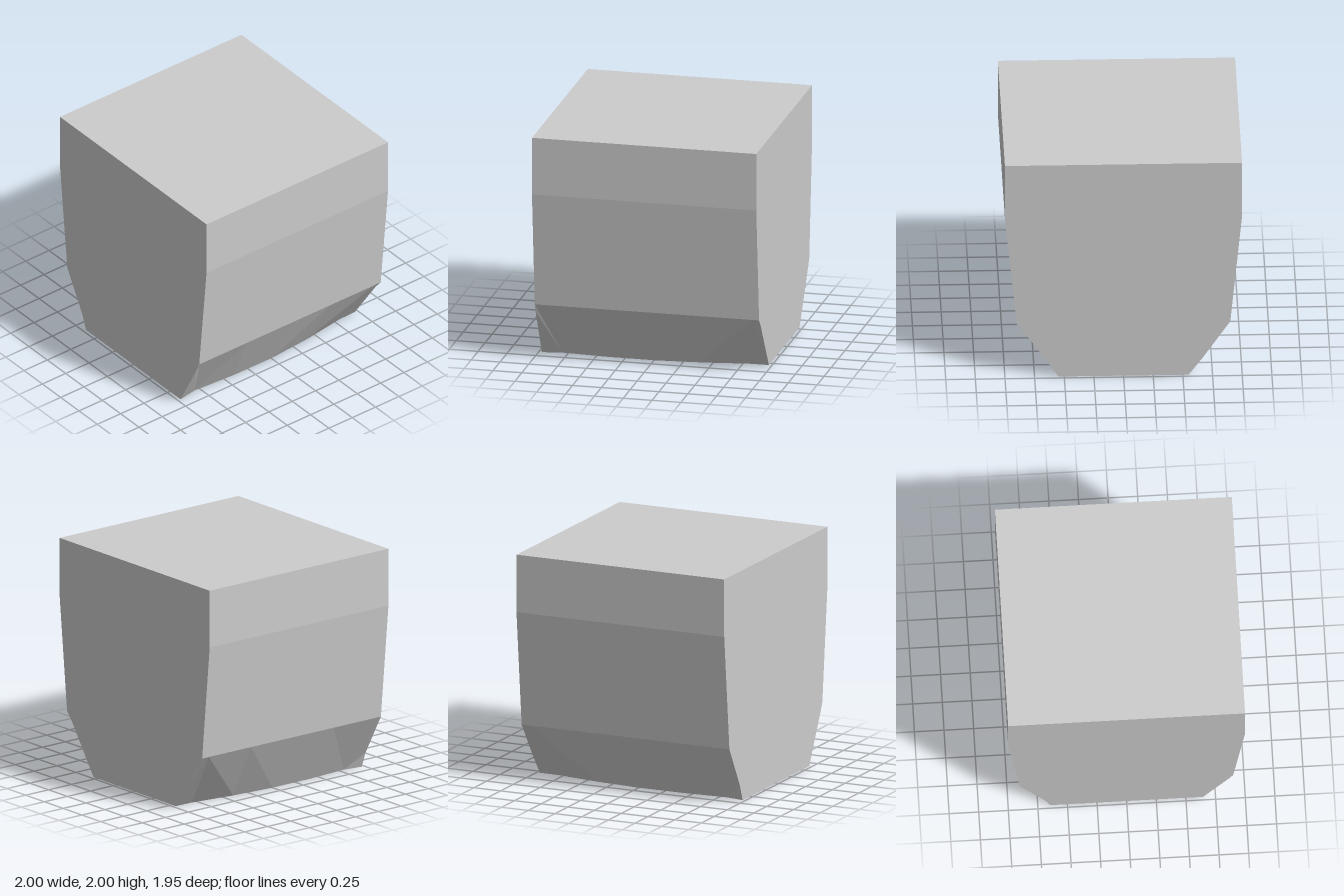
import * as THREE from 'three';

const D = 0.9725; // half depth
// Stations from front to back: z of the shoulder line, z and half width of the foot line
const shoulderZ = [D, 0.9, 0.46, 0, -0.44, -0.9, -D];
const footZ = [D, 0.8, 0.4, 0, -0.4, -0.8, -D];
const footX = [0.645, 0.617, 0.643, 0.645, 0.612, 0.552, 0.548];

// Small bends [half width, y] in the lower end edges, per side
const bends = {
  '1': { front: [0.865, 0.42], back: [0.84, 0.43] },
  '-1': { front: [0.695, 0.135], back: [0.672, 0.166] },
};

// Corner points of one side
function sidePoints(s) {
  const p = (x, y, z) => [s * x, y, z];
  const b = bends[s];
  return {
    foot: footZ.map((z, i) => p(footX[i], 0, z)),
    shoulder: shoulderZ.map((z) => p(0.9, 0.5, z)),
    bendFront: p(...b.front, D),
    bendBack: p(...b.back, -D),
    waist: [p(1, 1.5, D), p(1, 1.5, -D)],
    top: [p(1, 2, D), p(1, 2, -D)],
  };
}

export function createModel() {
  const group = new THREE.Group();
  const material = new THREE.MeshStandardMaterial({ color: 0xcccccc, flatShading: true });

  // Fan of triangles around the first point; corners counter-clockwise unless flipped
  function fan(out, pts, flip = false) {
    for (let i = 1; i < pts.length - 1; i++) {
      out.push(...pts[0], ...pts[flip ? i + 1 : i], ...pts[flip ? i : i + 1]);
    }
  }
  function addPart(name, positions) {
    const g = new THREE.BufferGeometry();
    g.setAttribute('position', new THREE.Float32BufferAttribute(positions, 3));
    g.computeVertexNormals();
    const mesh = new THREE.Mesh(g, material);
    mesh.name = name;
    group.add(mesh);
  }

  const L = sidePoints(1), R = sidePoints(-1);

  // Side walls: upright band, sloping band and the faceted taper below
  for (const [S, flip, word] of [[L, false, 'left'], [R, true, 'right']]) {
    const wall = [], taper = [];
    const { foot: f, shoulder: h, waist: w, top: t } = S;
    const n = f.length - 1;
    fan(wall, [w[0], w[1], t[1], t[0]], flip);
    fan(wall, [h[0], h[n], w[1], w[0]], flip);
    fan(taper, [f[1], h[1], h[0], S.bendFront, f[0]], flip);
    for (let i = 1; i < n - 1; i++) fan(taper, [f[i], f[i + 1], h[i + 1], h[i]], flip);
    fan(taper, [h[n - 1], f[n - 1], f[n], S.bendBack, h[n]], flip);
    addPart(word + 'Wall', wall);
    addPart(word + 'Taper', taper);
  }

  // Flat end faces, fanned from the middle of the top edge
  for (const [name, k, z, bend, flip] of [['frontFace', 0, D, 'bendFront', false], ['backFace', 1, -D, 'bendBack', true]]) {
    const i = k * (footZ.length - 1);
    const edge = (S) => [S.top[k], S.waist[k], S.shoulder[i], S[bend], S.foot[i]];
    const face = [];
    fan(face, [[0, 2, z], ...edge(R), ...edge(L).reverse()], flip);
    addPart(name, face);
  }

  // Top and bottom
  const top = [], base = [];
  fan(top, [L.top[0], L.top[1], R.top[1], R.top[0]]);
  fan(base, [[0, 0, 0], ...R.foot, ...[...L.foot].reverse(), R.foot[0]]);
  addPart('topFace', top);
  addPart('bottomFace', base);

  return group;
}
